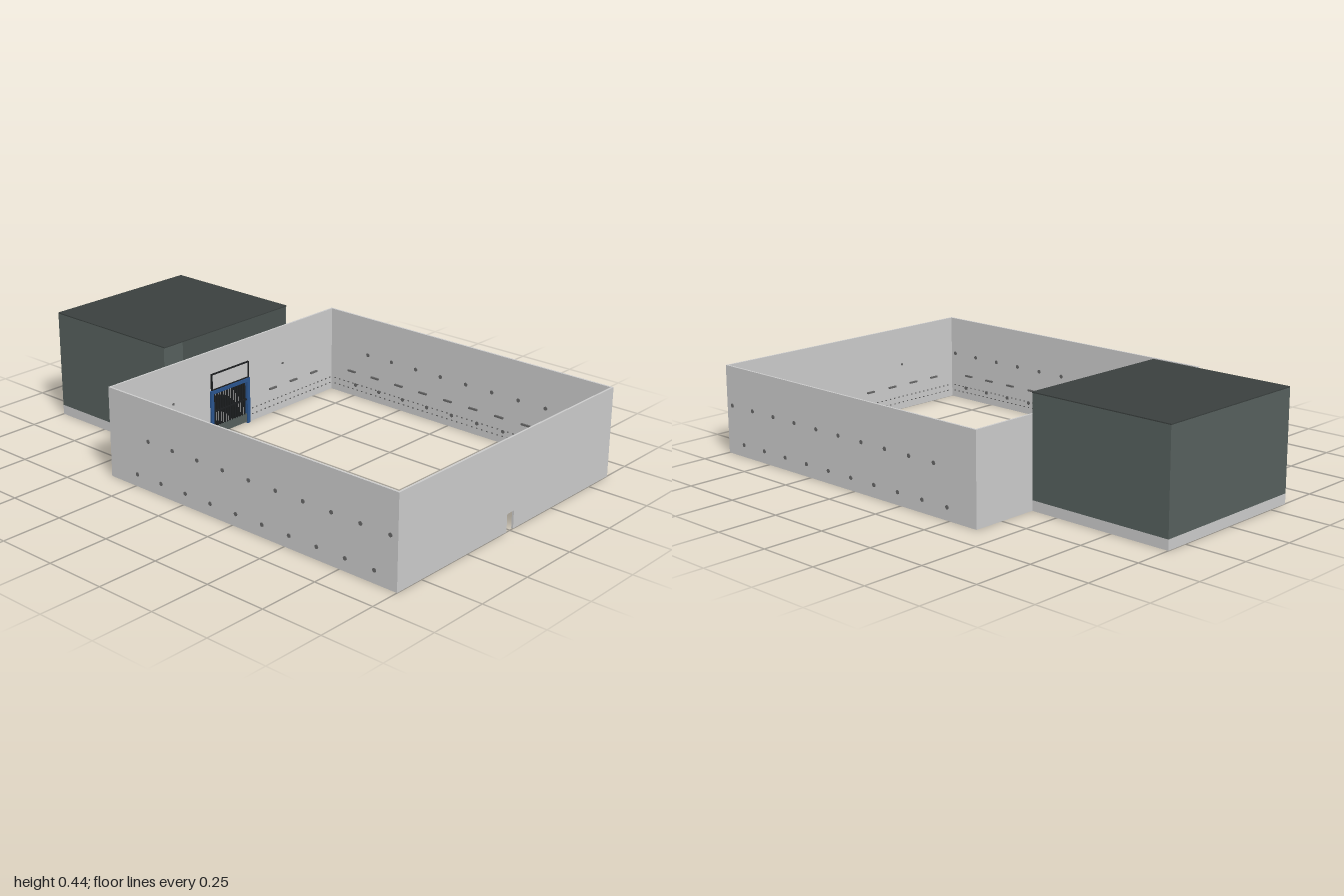
import * as THREE from 'three';
import { mergeGeometries } from 'three/addons/utils/BufferGeometryUtils.js';

const grey = new THREE.MeshStandardMaterial({ color: 0xcccccc });
const dark = new THREE.MeshStandardMaterial({ color: 0x56605d });
const roofDark = new THREE.MeshStandardMaterial({ color: 0x3a403e });
const black = new THREE.MeshStandardMaterial({ color: 0x1c1e20 });
const blue = new THREE.MeshStandardMaterial({ color: 0x2a5590 });
const fitting = new THREE.MeshStandardMaterial({ color: 0x666666 });

// Yard and hall dimensions
const X = 0.627, Z0 = -0.384, Z1 = 1, H = 0.36, T = 0.008;
const HX = 0.342, HZ = -1, HH = 0.44, BASE = 0.04, S = 0.006;

// Box geometry spanning two corners
function span(x0, x1, y0, y1, z0, z1) {
  return new THREE.BoxGeometry(x1 - x0, y1 - y0, z1 - z0)
    .translate((x0 + x1) / 2, (y0 + y1) / 2, (z0 + z1) / 2);
}

function add(group, name, material, ...geometries) {
  const mesh = new THREE.Mesh(mergeGeometries(geometries), material);
  mesh.name = name;
  group.add(mesh);
  return mesh;
}

// Wall across x with a doorway cut up from the ground
function wallWithDoor(halfDoor, doorHeight, z) {
  const shape = new THREE.Shape([
    [-X, 0], [-halfDoor, 0], [-halfDoor, doorHeight], [halfDoor, doorHeight],
    [halfDoor, 0], [X, 0], [X, H], [-X, H],
  ].map(([x, y]) => new THREE.Vector2(x, y)));
  return new THREE.ExtrudeGeometry(shape, { depth: T, bevelEnabled: false }).translate(0, 0, z);
}

function buildYard() {
  const yard = new THREE.Group();
  yard.name = 'yardWalls';
  add(yard, 'frontWall', grey, wallWithDoor(0.02, 0.07, Z1 - T));
  add(yard, 'backWall', grey, wallWithDoor(0.1, 0.185, Z0));
  for (const s of [-1, 1]) {
    const x = s * (X - T / 2);
    add(yard, s > 0 ? 'leftWall' : 'rightWall', grey,
      span(x - T / 2, x + T / 2, 0, H, Z0 + T, Z1 - T));
  }
  return yard;
}

function buildFittings() {
  const group = new THREE.Group();
  group.name = 'wallFittings';
  const ledges = [], dots = [], studs = [];

  // Ledges and dotted rows on the front and back walls
  for (const [z, dir, gap] of [[Z1 - T, -1, 0.04], [Z0 + T, 1, 0.13]]) {
    for (const s of [-1, 1]) {
      for (let i = 1; i <= 4; i++) {
        const x = s * i * 0.125;
        if (x * s < gap + 0.02) continue;
        ledges.push(new THREE.BoxGeometry(0.04, 0.007, 0.008).translate(x, 0.108, z + dir * 0.004));
      }
      for (let x = gap; x < X - 0.02; x += 0.025) {
        for (const y of [0.03, 0.055]) {
          dots.push(new THREE.BoxGeometry(0.006, 0.004, 0.003).translate(s * x, y, z + dir * 0.0015));
        }
      }
      studs.push(new THREE.CylinderGeometry(0.005, 0.005, 0.004, 8).rotateX(Math.PI / 2)
        .translate(s * 0.31, 0.2, z + dir * 0.002));
    }
  }

  // Ledges, dotted rows and staggered studs on the side walls
  for (const s of [-1, 1]) {
    const inner = s * (X - T);
    for (let i = 0; i < 10; i++) {
      const z = -0.26 + i * 0.127;
      ledges.push(new THREE.BoxGeometry(0.008, 0.007, 0.04).translate(inner - s * 0.004, 0.108, z));
      for (const [y, shift] of [[0.2, 0.085], [0.05, 0.02]]) {
        studs.push(new THREE.CylinderGeometry(0.008, 0.008, T + 0.005, 10).rotateZ(Math.PI / 2)
          .translate(s * (X - T / 2), y, z + shift));
      }
    }
    for (let z = Z0 + 0.03; z < Z1 - 0.02; z += 0.025) {
      for (const y of [0.03, 0.055]) {
        dots.push(new THREE.BoxGeometry(0.003, 0.004, 0.006).translate(inner - s * 0.0015, y, z));
      }
    }
  }
  add(group, 'ledges', fitting, ...ledges);
  add(group, 'dotRows', fitting, ...dots);
  add(group, 'studs', fitting, ...studs);
  return group;
}

function buildGate() {
  const gate = new THREE.Group();
  gate.name = 'gate';
  const zf = Z0 + T, z1 = zf + 0.008;

  // Blue frame around the doorway
  add(gate, 'gateFrame', blue,
    span(-0.11, -0.095, 0, 0.195, Z0, z1),
    span(0.095, 0.11, 0, 0.195, Z0, z1),
    span(-0.095, 0.095, 0.18, 0.195, Z0, z1));

  // Solid lower panel, upright bars and a crossbar
  const bars = [span(-0.095, 0.095, 0.1, 0.106, zf - 0.005, zf + 0.004)];
  for (let i = 0; i < 13; i++) {
    const x = -0.084 + i * 0.014;
    bars.push(span(x - 0.003, x + 0.003, 0.04, 0.18, zf - 0.004, zf + 0.003));
  }
  add(gate, 'gateBars', black, ...bars);
  add(gate, 'gatePanel', dark, span(-0.095, 0.095, 0.005, 0.04, zf - 0.005, zf + 0.004));

  // Thin outlined sign board above the gate
  add(gate, 'boardFrame', black,
    span(-0.105, 0.105, 0.262, 0.266, zf, z1),
    span(-0.105, 0.105, 0.197, 0.201, zf, z1),
    span(-0.105, -0.101, 0.2, 0.263, zf, z1),
    span(0.101, 0.105, 0.2, 0.263, zf, z1));
  add(gate, 'board', grey, span(-0.101, 0.101, 0.201, 0.262, zf, zf + 0.004));
  return gate;
}

// Three-sided shell, open towards the yard
function shell(y0, y1) {
  return [
    span(-HX, -HX + S, y0, y1, HZ, Z0),
    span(HX - S, HX, y0, y1, HZ, Z0),
    span(-HX + S, HX - S, y0, y1, HZ, HZ + S),
  ];
}

function buildHall() {
  const hall = new THREE.Group();
  hall.name = 'hall';
  add(hall, 'hallBase', grey, ...shell(0, BASE));
  add(hall, 'hallFloor', grey, span(-HX + S, HX - S, 0, 0.004, HZ + S, Z0));
  add(hall, 'hallWalls', dark, ...shell(BASE, HH - 0.004));
  add(hall, 'hallRoof', roofDark, span(-HX, HX, HH - 0.004, HH, HZ, Z0 + 0.004));
  return hall;
}

export function createModel() {
  const model = new THREE.Group();
  model.name = 'walledYard';
  model.add(buildYard(), buildFittings(), buildGate(), buildHall());
  return model;
}
